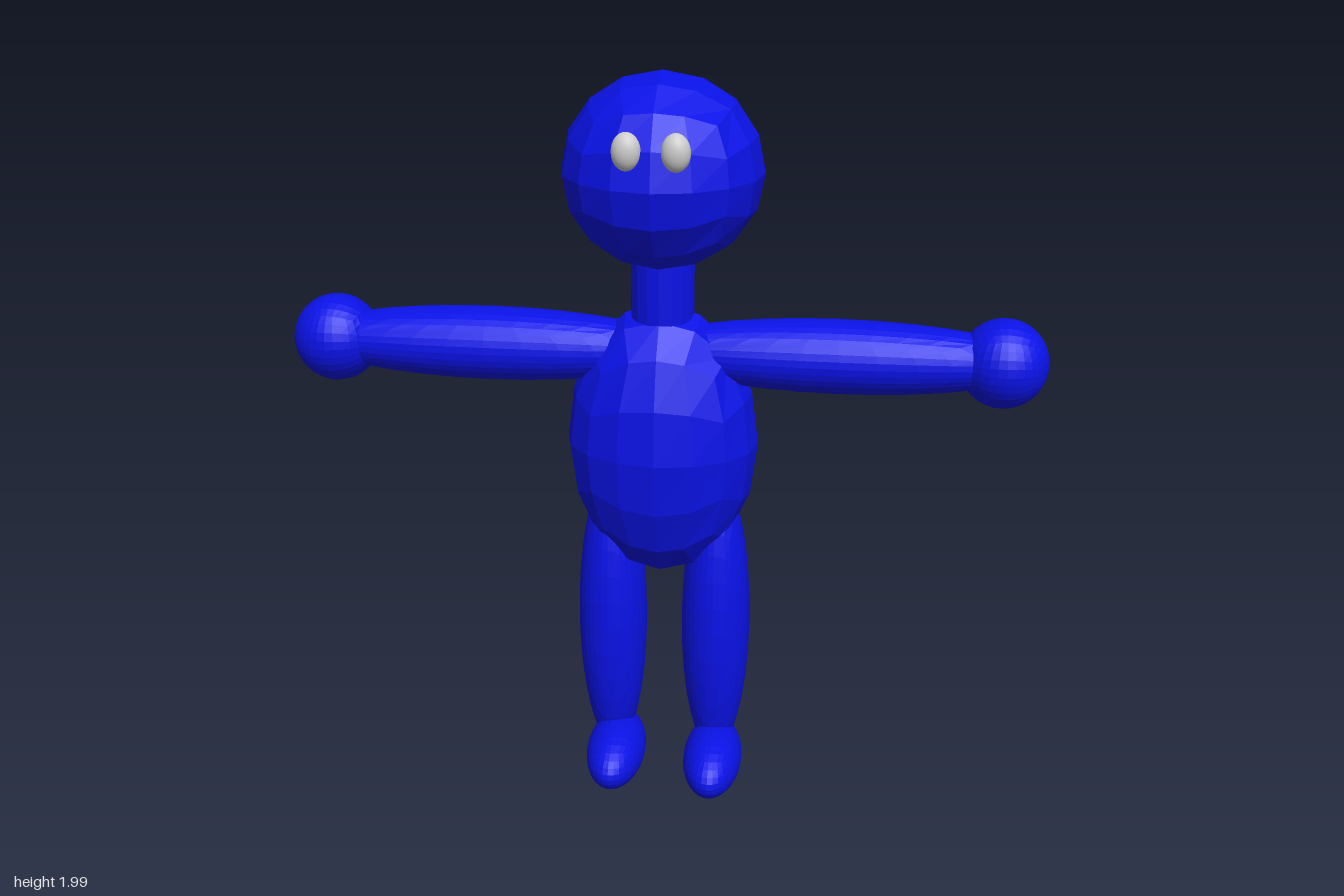
import * as THREE from 'three';

const blue = new THREE.MeshStandardMaterial({ color: 0x0a12e6, flatShading: true });
const grey = new THREE.MeshStandardMaterial({ color: 0xcccccc });

// Sphere made from a subdivided cube, with evenly spaced faces
function quadSphere(segments) {
  const geo = new THREE.BoxGeometry(2, 2, 2, segments, segments, segments);
  const pos = geo.attributes.position;
  const v = new THREE.Vector3();
  const spread = (t) => Math.tan((t * Math.PI) / 4);
  for (let i = 0; i < pos.count; i++) {
    v.fromBufferAttribute(pos, i);
    v.set(spread(v.x), spread(v.y), spread(v.z)).normalize();
    pos.setXYZ(i, v.x, v.y, v.z);
  }
  return geo;
}

function ellipsoid(name, segments, center, radii) {
  const geo = quadSphere(segments).scale(...radii);
  geo.computeVertexNormals();
  const mesh = new THREE.Mesh(geo, blue);
  mesh.name = name;
  mesh.position.set(...center);
  return mesh;
}

export function createModel() {
  const model = new THREE.Group();
  model.name = 'figure';

  // Head, neck and torso
  model.add(ellipsoid('head', 4, [0, 1.743, -0.009], [0.26, 0.25, 0.26]));
  const neck = new THREE.Mesh(new THREE.CylinderGeometry(0.083, 0.083, 0.34, 16), blue);
  neck.name = 'neck';
  neck.position.set(0, 1.4, -0.007);
  model.add(neck);
  model.add(ellipsoid('torso', 4, [0, 1.012, -0.007], [0.257, 0.383, 0.2]));

  for (const [side, s] of [['left', 1], ['right', -1]]) {
    const left = s > 0;

    // Arm and hand
    model.add(ellipsoid(side + 'Arm', 8, [s * 0.46, 1.266, -0.01], [0.53, 0.097, 0.105]));
    model.add(ellipsoid(side + 'Hand', 8, [s * 0.883, 1.265, -0.011], [0.115, 0.117, 0.117]));

    // Leg and foot
    const legX = left ? 0.15 : -0.14;
    model.add(ellipsoid(side + 'Leg', 8, [legX, 0.475, -0.003], [0.095, 0.43, 0.107]));
    const foot = ellipsoid(side + 'Foot', 8,
      [left ? 0.155 : -0.122, 0.086, left ? 0.095 : 0.085], [0.082, 0.083, 0.17]);
    model.add(foot);

    // Eye
    const eye = new THREE.Mesh(new THREE.SphereGeometry(1, 24, 16), grey);
    eye.name = side + 'Eye';
    eye.scale.set(0.036, 0.047, 0.031);
    eye.position.set(s * 0.06, 1.837, 0.223);
    model.add(eye);
  }
  return model;
}
